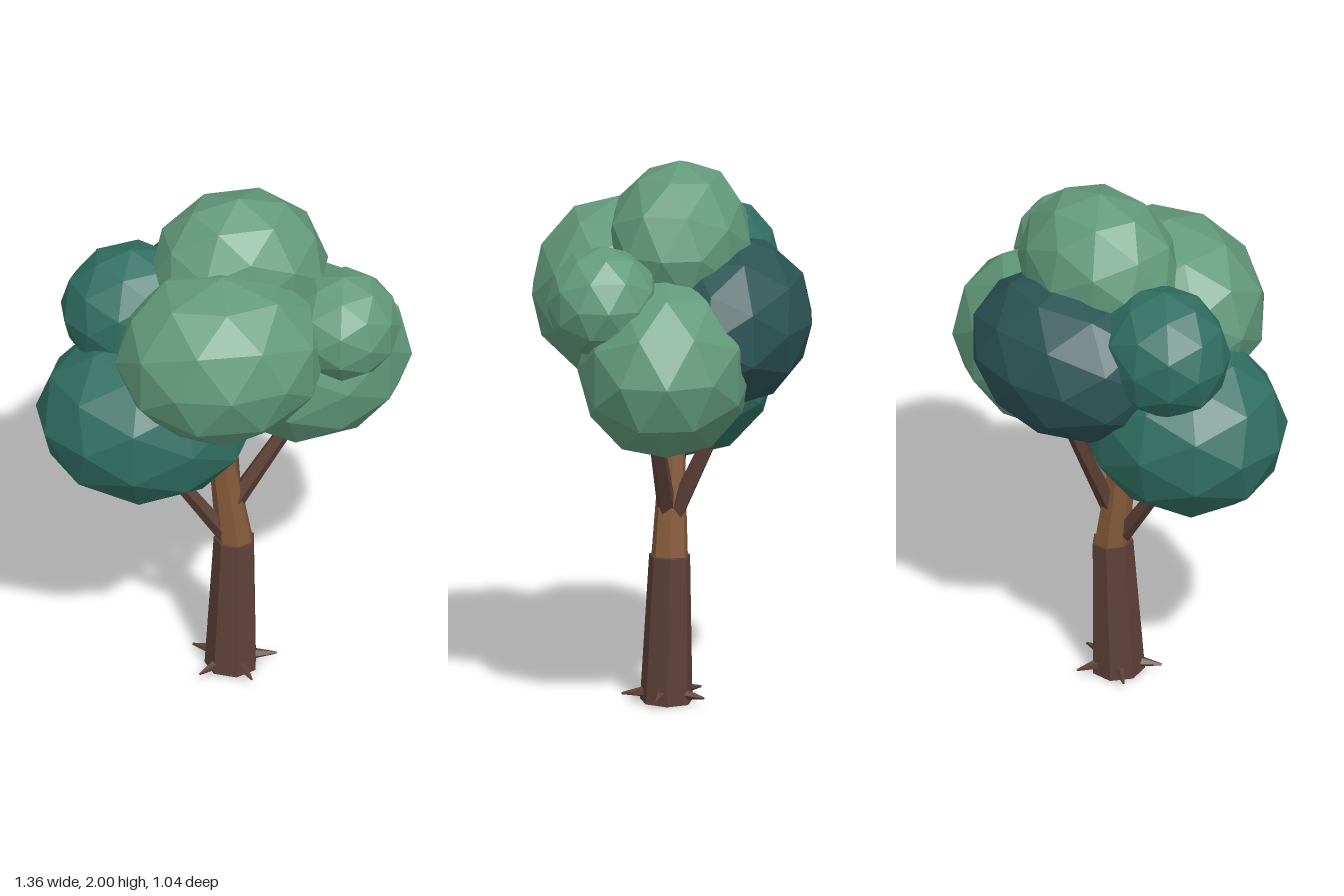
import * as THREE from 'three';

const mat = (name, color) => {
  const m = new THREE.MeshStandardMaterial({ color, flatShading: true });
  m.name = name;
  return m;
};

export function createModel() {
  const tree = new THREE.Group();
  tree.name = 'tree';

  const bark = mat('dark bark', 0x5d4037);
  const wood = mat('light bark', 0x855a3a);
  const light = mat('light leaves', 0x629a7c);
  const teal = mat('teal leaves', 0x317062);
  const dark = mat('dark leaves', 0x2c5454);

  // Tapered, faceted limb running from point a to point b
  const limb = (name, material, a, b, r0, r1, sides) => {
    const from = new THREE.Vector3(...a);
    const dir = new THREE.Vector3(...b).sub(from);
    const mesh = new THREE.Mesh(new THREE.CylinderGeometry(r1, r0, dir.length(), sides), material);
    mesh.name = name;
    mesh.position.copy(from).addScaledVector(dir, 0.5);
    mesh.quaternion.setFromUnitVectors(new THREE.Vector3(0, 1, 0), dir.normalize());
    tree.add(mesh);
  };

  // Trunk in two sections, with three branches
  limb('lowerTrunk', bark, [0.022, 0.007, 0.015], [0.037, 0.545, 0], 0.096, 0.075, 7);
  limb('upperTrunk', wood, [0.037, 0.54, 0], [-0.035, 1.1, 0], 0.067, 0.036, 7);
  limb('leftwardBranch', bark, [0.03, 0.53, 0.01], [-0.25, 0.95, 0.01], 0.034, 0.024, 5);
  limb('rightwardBranch', bark, [0.02, 0.69, 0.01], [0.27, 1.08, 0.01], 0.036, 0.026, 5);
  limb('backBranch', bark, [0.03, 0.68, -0.01], [0.05, 1.17, -0.24], 0.036, 0.022, 5);

  // Small pointed roots around the foot
  for (let i = 0; i < 5; i++) {
    const a = (i / 5) * Math.PI * 2 + 0.06;
    const c = Math.cos(a), s = Math.sin(a);
    limb('root', bark, [0.025 + 0.07 * c, 0.042, 0.015 + 0.07 * s],
      [0.025 + 0.16 * c, 0.036, 0.015 + 0.16 * s], 0.022, 0.004, 5);
  }

  // Leaf clumps: name, material, centre, radii, turn about y
  const clumps = [
    ['topLeaves', light, [0.06, 1.7, -0.04], [0.325, 0.3, 0.26], 0],
    ['frontLeaves', light, [-0.05, 1.5, 0.2], [0.385, 0.335, 0.32], 1.5],
    ['lowerRightLeaves', light, [0.3, 1.3, -0.04], [0.39, 0.335, 0.315], 0.25],
    ['smallRightLeaves', light, [0.4, 1.55, 0.17], [0.205, 0.205, 0.205], 0.3],
    ['lowerLeftLeaves', teal, [-0.285, 1.17, 0.025], [0.405, 0.34, 0.345], 0.25],
    ['upperLeftLeaves', teal, [-0.32, 1.53, -0.11], [0.255, 0.25, 0.22], 0.2],
    ['backLeaves', dark, [0.045, 1.42, -0.22], [0.4, 0.31, 0.3], 1.57],
  ];
  for (const [name, material, centre, radii, turn] of clumps) {
    const geo = new THREE.IcosahedronGeometry(1, 1).rotateY(turn).scale(...radii);
    const mesh = new THREE.Mesh(geo, material);
    mesh.name = name;
    mesh.position.set(...centre);
    tree.add(mesh);
  }
  return tree;
}
